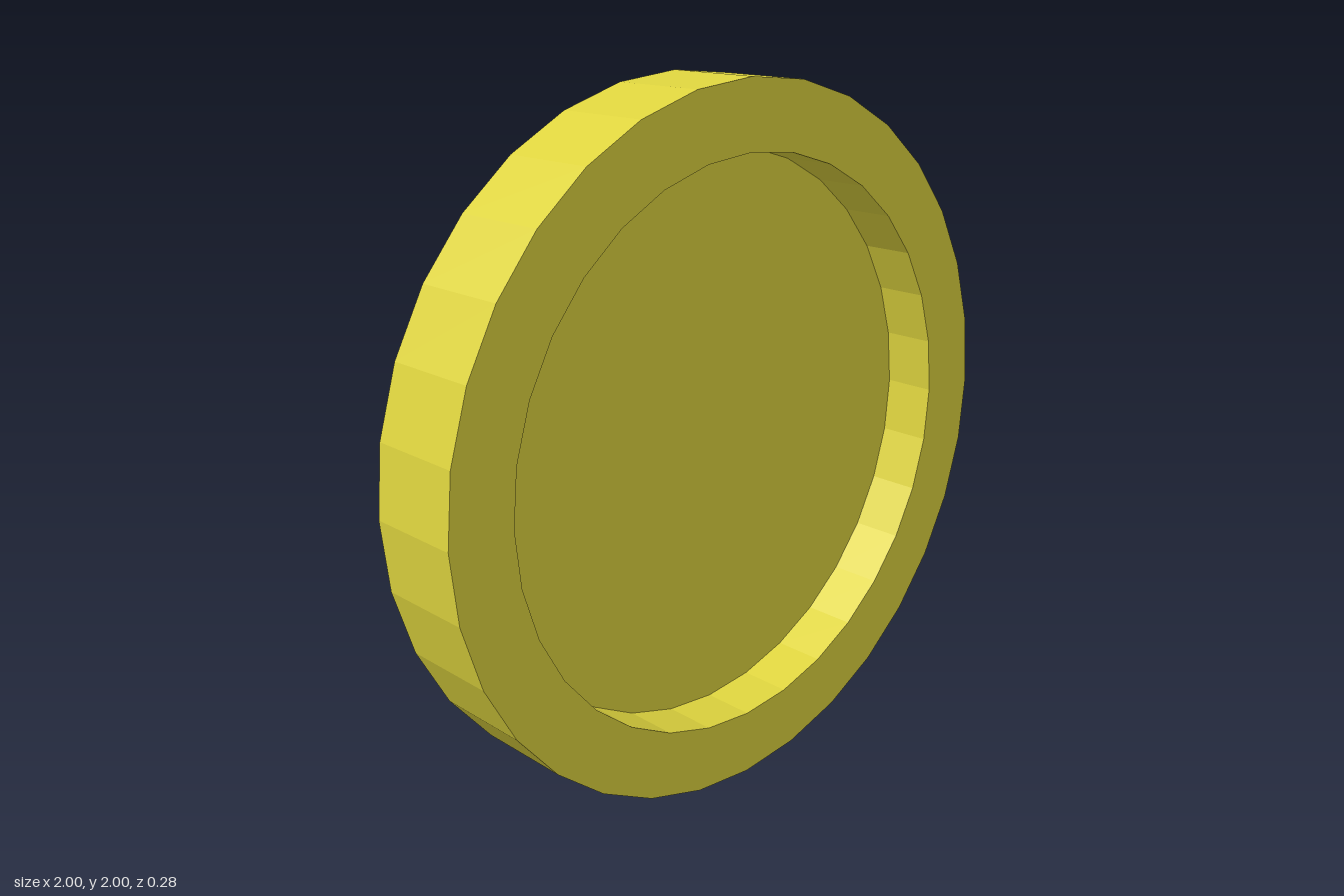
import * as THREE from 'three';

const SIDES = 32;
const HALF = 0.142; // half the rim's thickness
const BACK_FLOOR = -0.038; // z of the back recess floor
const FRONT_FLOOR = -0.014; // z of the front recess floor

export function createModel() {
  const group = new THREE.Group();
  group.name = 'recessedDisc';
  const material = new THREE.MeshStandardMaterial({ color: 0xddd33e, flatShading: true });

  const add = (name, geometry) => {
    geometry.rotateX(Math.PI / 2); // turn the axis from y to z
    const mesh = new THREE.Mesh(geometry, material);
    mesh.name = name;
    mesh.position.y = 1;
    group.add(mesh);
  };

  // Raised rim: radius and depth, from the back recess round to the front recess
  const profile = [
    [0.79, BACK_FLOOR], [0.79, -HALF], [1, -HALF],
    [1, HALF], [0.81, HALF], [0.81, FRONT_FLOOR],
  ].map(([r, z]) => new THREE.Vector2(r, z));
  add('rim', new THREE.LatheGeometry(profile, SIDES));

  // Thin plate closing the ring, forming both recess floors
  const plate = new THREE.CylinderGeometry(0.81, 0.81, FRONT_FLOOR - BACK_FLOOR, SIDES);
  plate.translate(0, (FRONT_FLOOR + BACK_FLOOR) / 2, 0);
  add('centrePlate', plate);

  return group;
}
